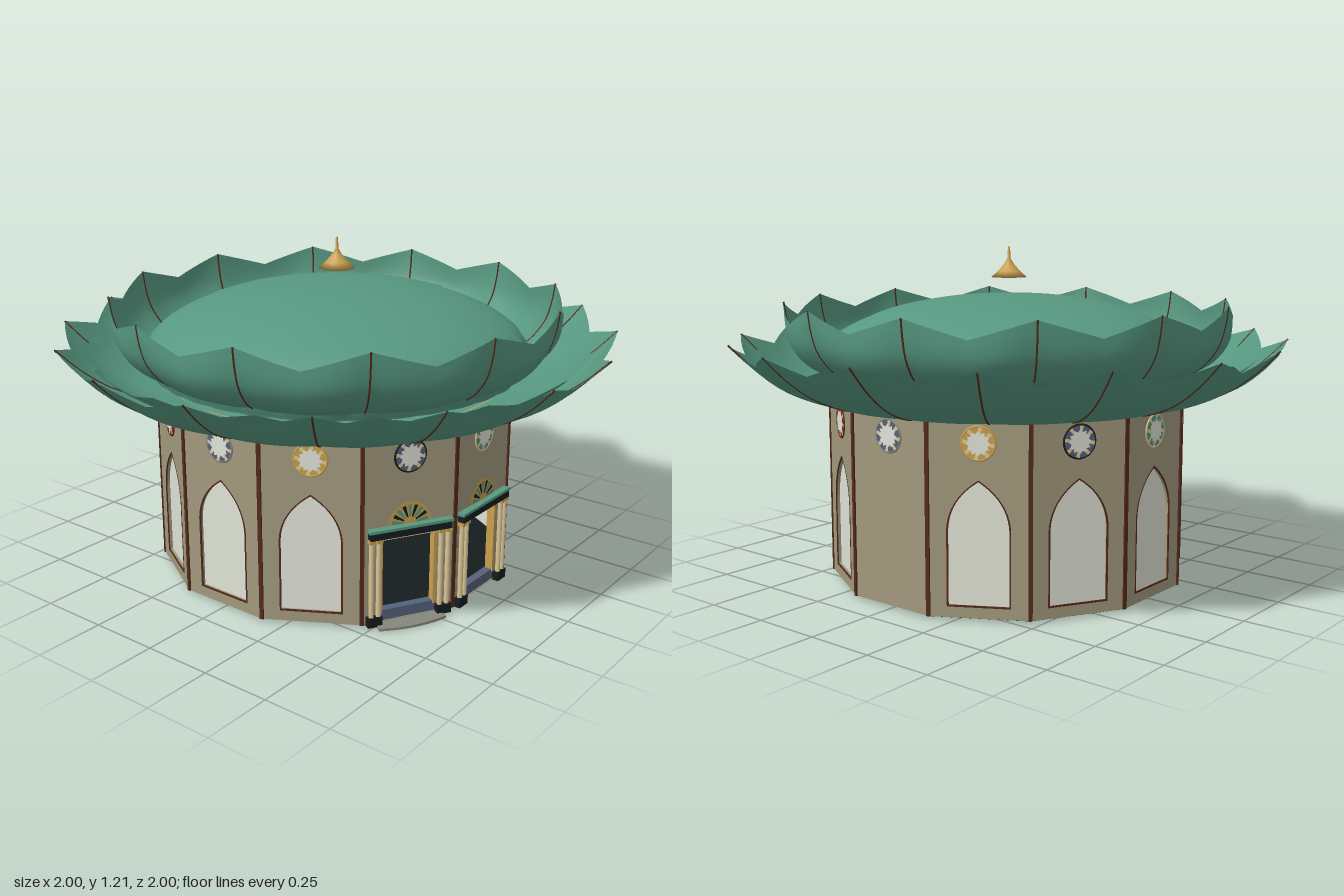
import * as THREE from 'three';
import { toCreasedNormals } from 'three/addons/utils/BufferGeometryUtils.js';
import { ParametricGeometry } from 'three/addons/geometries/ParametricGeometry.js';

const SIDES = 12, APOTHEM = 0.64, HALF = 0.1715, DEG = Math.PI / 180;

const mat = (name, color) => new THREE.MeshStandardMaterial({ name, color, side: THREE.DoubleSide });
const M = {
  wall: mat('sandstone wall', 0xa1987c), glass: mat('pale glass', 0xdfe2d6),
  roof: mat('green copper', 0x579881), gold: mat('gold', 0xc9a04e),
  brown: mat('dark brown', 0x54291a), dark: mat('dark floor', 0x141d1f),
  cream: mat('cream', 0xdcc797), red: mat('deep red', 0x8c2f26),
  blue: mat('slate blue', 0x55627c), stone: mat('grey stone', 0x85867c),
};

function add(parent, name, geometry, material, x = 0, y = 0, z = 0) {
  const mesh = new THREE.Mesh(geometry, material);
  mesh.name = name;
  mesh.position.set(x, y, z);
  parent.add(mesh);
  return mesh;
}
const box = (w, h, d) => new THREE.BoxGeometry(w, h, d);
const extrude = (shape, depth) =>
  new THREE.ExtrudeGeometry(shape, { depth, bevelEnabled: false, curveSegments: 10 });

// Pointed arch outline, grown by g
function arch(g = 0, Type = THREE.Shape) {
  const w = 0.105 + g, s = new Type();
  s.moveTo(-w, 0.05 - g);
  s.lineTo(w, 0.05 - g);
  s.lineTo(w, 0.31);
  s.quadraticCurveTo(w - 0.005, 0.41, 0, 0.475 + g);
  s.quadraticCurveTo(-w + 0.005, 0.41, -w, 0.31);
  s.closePath();
  return s;
}

function rect(x, y0, y1, Type = THREE.Shape) {
  const s = new Type();
  s.moveTo(-x, y0); s.lineTo(x, y0); s.lineTo(x, y1); s.lineTo(-x, y1);
  s.closePath();
  return s;
}

// Round window: rim, alternating coloured wedges and a starred pale centre
function rosette(face, accent, rim) {
  const g = new THREE.Group();
  g.name = 'roundWindow';
  g.position.set(0, 0.6, APOTHEM);
  add(g, 'roundWindowRim', new THREE.TorusGeometry(0.056, 0.004, 6, 32), rim);
  for (let i = 0; i < 24; i++) {
    add(g, 'roundWindowWedge', new THREE.RingGeometry(0.03, 0.056, 2, 1, i * 15 * DEG, 15 * DEG),
      i % 3 === 2 ? M.cream : accent, 0, 0, 0.003);
  }
  const star = new THREE.Shape();
  for (let i = 0; i < 24; i++) {
    const r = i % 2 ? 0.032 : 0.042, a = i * 15 * DEG;
    star[i ? 'lineTo' : 'moveTo'](r * Math.cos(a), r * Math.sin(a));
  }
  add(g, 'roundWindowStar', new THREE.ShapeGeometry(star), M.glass, 0, 0, 0.005);
  face.add(g);
}

function doorway(face) {
  const g = new THREE.Group();
  g.name = 'doorway';
  g.position.z = APOTHEM;
  for (const s of [-1, 1]) {
    for (const x of [0.115, 0.142]) {
      add(g, 'doorColumn', new THREE.CylinderGeometry(0.009, 0.009, 0.28, 10), M.cream, s * x, 0.18, 0.012);
      add(g, 'columnCapital', box(0.022, 0.012, 0.022), M.gold, s * x, 0.318, 0.012);
    }
    add(g, 'columnBase', box(0.052, 0.035, 0.03), M.dark, s * 0.13, 0.022, 0.007);
    add(g, 'doorJamb', box(0.01, 0.28, 0.03), M.gold, s * 0.1, 0.18, -0.015);
  }
  add(g, 'lintelTrim', box(0.25, 0.012, 0.02), M.cream, 0, 0.318, -0.005);
  add(g, 'entablature', box(0.3, 0.026, 0.035), M.dark, 0, 0.338, 0.007);
  add(g, 'cornice', box(0.31, 0.01, 0.042), M.roof, 0, 0.355, 0.006);
  add(g, 'threshold', box(0.21, 0.04, 0.03), M.blue, 0, 0.03, -0.018);
  // Fan light over the door
  add(g, 'fanLight', new THREE.CircleGeometry(0.078, 24, 0, Math.PI), M.gold, 0, 0.36, 0.003);
  for (let i = 0; i < 9; i++) {
    add(g, 'fanBlade', new THREE.RingGeometry(0.025, 0.068, 3, 1, (i * 20 + 4) * DEG, 12 * DEG),
      i % 2 ? M.dark : M.roof, 0, 0.36, 0.006);
  }
  face.add(g);
}

// One of the twelve wall panels
function wallFace(i) {
  const az = i * 30, face = new THREE.Group();
  face.name = 'wallFace';
  face.rotation.y = az * DEG;
  const isDoor = az === 60 || az === 90, isBlank = az === 180;
  const panel = rect(HALF, 0.01, 0.7);
  if (isDoor) panel.holes.push(rect(0.105, 0.012, 0.325, THREE.Path));
  else if (!isBlank) panel.holes.push(arch(0, THREE.Path));
  add(face, 'wallPanel', extrude(panel, 0.03), M.wall, 0, 0, APOTHEM - 0.03);
  if (isDoor) doorway(face);
  else {
    add(face, 'innerLining', box(0.3, 0.64, 0.006), M.glass, 0, 0.34, APOTHEM - 0.036);
    if (!isBlank) {
      add(face, 'windowGlass', extrude(arch(), 0.006), M.glass, 0, 0, APOTHEM - 0.02);
      const frame = arch(0.003);
      frame.holes.push(arch(-0.003, THREE.Path));
      add(face, 'windowFrame', extrude(frame, 0.004), M.brown, 0, 0, APOTHEM - 0.003);
    }
  }
  const accents = [M.blue, M.gold, M.blue, M.roof, M.blue, M.red];
  const rims = [M.stone, M.gold, M.dark, M.cream, M.brown, M.brown];
  rosette(face, accents[i % 6], rims[i % 6]);
  // Corner strip
  const post = add(face, 'cornerStrip', box(0.014, 0.68, 0.012), M.brown, 0, 0.35, 0);
  post.position.set(0.6625 * Math.sin(15 * DEG), 0.35, 0.6625 * Math.cos(15 * DEG) - 0.002);
  post.rotation.y = 15 * DEG;
  return face;
}

// Ring of bulging petals with pointed tips, swept along a radius/height profile
function petalTier(name, count, tipDeg, profile, cut, bulge, ribbed) {
  const g = new THREE.Group();
  g.name = name;
  const curve = new THREE.SplineCurve(profile.map(p => new THREE.Vector2(...p)));
  const point = (u, v, target) => {
    const f = (u * count) % 1, t = Math.abs(2 * f - 1);
    const p = curve.getPointAt(Math.min(1, Math.max(0, v * (1 - cut * (1 - t)))));
    const r = p.x + bulge * (1 - t * t) * Math.sin(Math.PI * Math.min(1, Math.max(0, v)));
    const a = u * Math.PI * 2 + tipDeg * DEG;
    target.set(r * Math.sin(a), p.y, r * Math.cos(a));
  };
  const geo = toCreasedNormals(new ParametricGeometry(point, count * 10, 14), 0.35);
  add(g, 'petals', geo, M.roof);
  if (ribbed) {
    const rib = new THREE.CatmullRomCurve3(profile.map(([r, y]) => new THREE.Vector3(0, y, r)));
    for (let i = 0; i < count; i++) {
      add(g, 'petalRib', new THREE.TubeGeometry(rib, 16, 0.0035, 5), M.brown)
        .rotation.y = (tipDeg + i * 360 / count) * DEG;
    }
  }
  return g;
}

export function createModel() {
  const model = new THREE.Group();
  model.name = 'lotusPavilion';

  for (let i = 0; i < SIDES; i++) model.add(wallFace(i));

  // Floor, ceiling and underside medallion
  const slab = (name, r, h, y, sides, m) =>
    add(model, name, new THREE.CylinderGeometry(r, r, h, sides), m, 0, y, 0);
  slab('floor', 0.658, 0.008, 0.012, 12, M.dark).rotation.y = 15 * DEG;
  slab('ceiling', 0.64, 0.006, 0.69, 12, M.roof).rotation.y = 15 * DEG;
  slab('medallion', 0.185, 0.008, 0.005, 40, M.stone);
  slab('medallionRing', 0.05, 0.003, 0.0015, 24, M.blue);
  slab('medallionCentre', 0.028, 0.002, 0.001, 12, M.dark);

  // Curved step in front of the diagonal door
  const step = new THREE.Shape();
  step.moveTo(-0.12, -0.62);
  step.lineTo(-0.125, -0.685);
  step.quadraticCurveTo(0, -0.72, 0.125, -0.685);
  step.lineTo(0.12, -0.62);
  const stepGeo = extrude(step, 0.009).rotateX(-Math.PI / 2);
  add(model, 'doorStep', stepGeo, M.stone).rotation.y = 60 * DEG;

  // Lotus roof
  model.add(petalTier('lowerPetals', 16, 11.25,
    [[0.6, 0.67], [0.7, 0.675], [0.83, 0.725], [0.93, 0.795], [1.018, 0.88]], 0.16, 0.015, true));
  model.add(petalTier('middlePetals', 16, 0,
    [[0.62, 0.7], [0.74, 0.725], [0.85, 0.78], [0.93, 0.845]], 0.2, 0.01, false));
  model.add(petalTier('upperPetals', 12, 15,
    [[0.61, 0.74], [0.72, 0.795], [0.785, 0.87], [0.81, 0.945], [0.82, 1.015]], 0.17, 0.02, true));

  // Dome with scalloped edge and a raised twelve-pointed star
  const domeCurve = new THREE.SplineCurve([[0, 1.035], [0.2, 1.025], [0.4, 0.99], [0.55, 0.94],
    [0.65, 0.88], [0.695, 0.81], [0.68, 0.75]].map(p => new THREE.Vector2(...p)));
  const domePart = (lift, reach) => (u, v, target) => {
    const p = domeCurve.getPoint(Math.min(1, Math.max(0, v * reach(u))));
    const a = u * Math.PI * 2;
    const r = p.x * (1 + 0.012 * Math.abs(Math.sin(a * 18)) * Math.max(0, p.x - 0.6) * 10);
    target.set(r * Math.sin(a), p.y + lift, r * Math.cos(a));
  };
  add(model, 'dome', new ParametricGeometry(domePart(0, () => 1), 144, 28), M.roof);
  const starReach = u => 0.36 + 0.085 * (1 - Math.abs(2 * ((u * 12) % 1) - 1));
  add(model, 'domeStar', new ParametricGeometry(domePart(0.004, starReach), 96, 12), M.roof);

  // Finial
  const finial = [[0, 1.1], [0.065, 1.1], [0.04, 1.122], [0.018, 1.148], [0.006, 1.168], [0.004, 1.21], [0, 1.212]];
  add(model, 'finial', new THREE.LatheGeometry(finial.map(p => new THREE.Vector2(...p)), 24), M.gold);
  return model;
}
